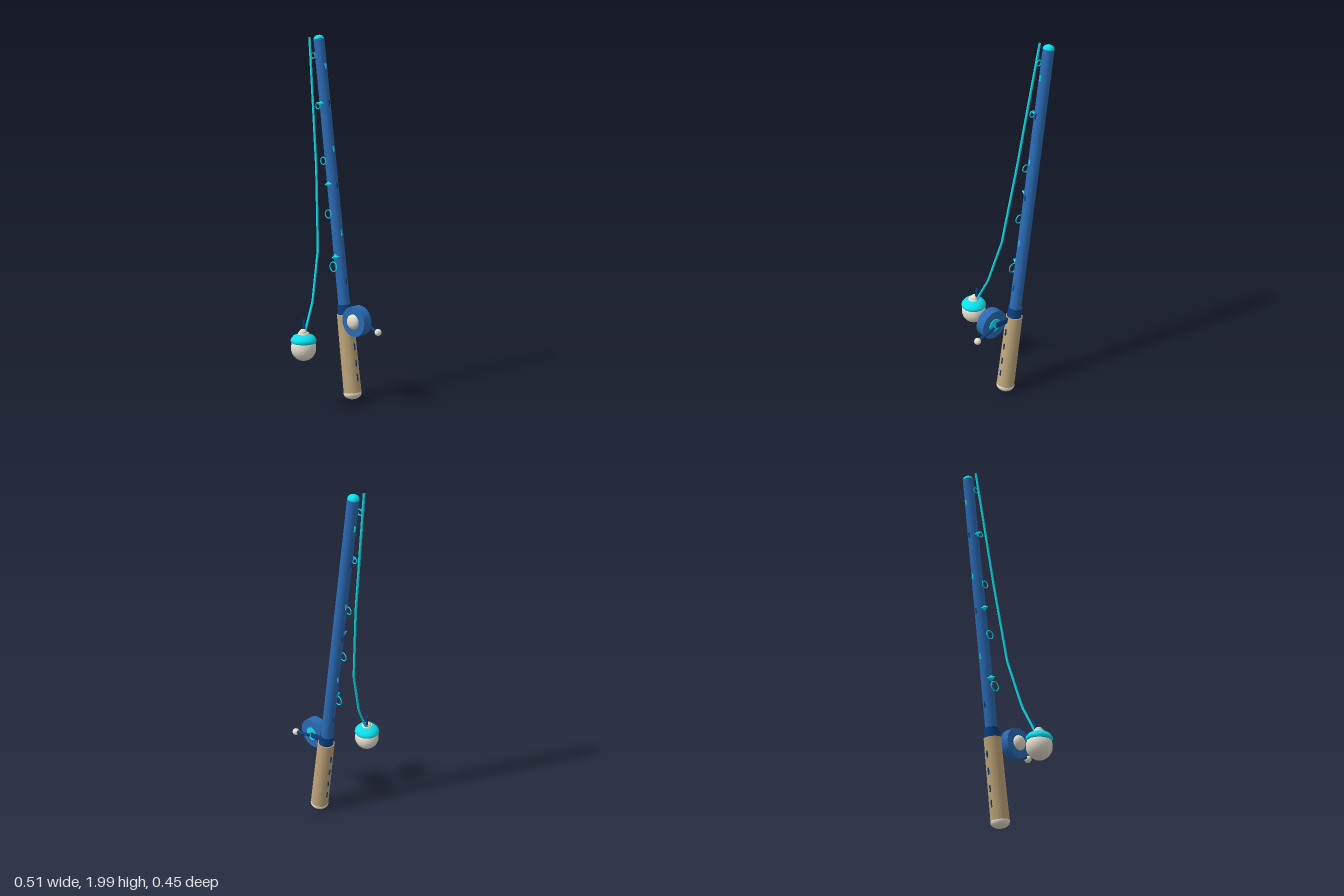
import * as THREE from 'three';

const mat = (color) => new THREE.MeshStandardMaterial({ color });
const blue = mat(0x2a6ab4), navy = mat(0x0c3f7e), tan = mat(0xbfa57a);
const cyan = mat(0x0de0ee), ivory = mat(0xe8e0d0);

function add(parent, name, geometry, material, x = 0, y = 0, z = 0) {
  const mesh = new THREE.Mesh(geometry, material);
  mesh.name = name;
  mesh.position.set(x, y, z);
  parent.add(mesh);
  return mesh;
}

// Closed tapered cylinder along y, from height a to height b
function post(parent, name, rTop, rBottom, a, b, material) {
  return add(parent, name, new THREE.CylinderGeometry(rTop, rBottom, b - a, 20), material, 0, (a + b) / 2);
}

// Flattened ball
function ball(parent, name, r, squash, material, x, y, z) {
  const mesh = add(parent, name, new THREE.SphereGeometry(r, 20, 14), material, x, y, z);
  mesh.scale.set(...squash);
  return mesh;
}

// Straight bar between two points
function bar(parent, name, from, to, r, material) {
  const a = new THREE.Vector3(...from), b = new THREE.Vector3(...to);
  const mesh = add(parent, name, new THREE.CylinderGeometry(r, r, a.distanceTo(b), 10), material);
  mesh.position.copy(a).add(b).multiplyScalar(0.5);
  mesh.quaternion.setFromUnitVectors(new THREE.Vector3(0, 1, 0), b.sub(a).normalize());
  return mesh;
}

function makeRod() {
  const rod = new THREE.Group();
  rod.name = 'rod';
  rod.position.set(0.045, 0.02, -0.173);
  rod.rotation.z = 0.137;
  post(rod, 'handle', 0.046, 0.05, 0.02, 0.462, tan);
  ball(rod, 'handleCap', 0.051, [1, 0.68, 1], ivory, 0, 0.02, 0);
  post(rod, 'collar', 0.039, 0.041, 0.455, 0.515, navy);
  post(rod, 'pole', 0.03, 0.033, 0.5, 1.968, blue);
  ball(rod, 'tipCap', 0.029, [1, 0.75, 1], cyan, 0, 1.97, 0);

  // Small inlays along both sides
  for (const side of [-1, 1]) {
    [0.13, 0.21, 0.3, 0.39].forEach((y) =>
      add(rod, 'gripInlay', new THREE.BoxGeometry(0.008, 0.036, 0.007), navy, side * 0.048, y - 0.02, 0));
    [0.65, 0.92, 1.18, 1.38, 1.63, 1.83].forEach((y, i) =>
      add(rod, 'poleInlay', new THREE.BoxGeometry(0.006, 0.03, 0.008), i % 2 ? cyan : navy, side * 0.031, y - 0.01, 0));
  }

  // Pointed studs on the front
  [[0.79, 0.024], [1.19, 0.021], [1.63, 0.018]].forEach(([y, r]) => {
    const cone = new THREE.ConeGeometry(r, 0.04, 4).toNonIndexed();
    cone.computeVertexNormals();
    add(rod, 'stud', cone, cyan, 0, y - 0.01, 0.044).rotation.x = Math.PI / 2;
  });

  // Line guides, shrinking towards the tip
  [[0.74, 0.026], [1.03, 0.023], [1.32, 0.02], [1.62, 0.017], [1.89, 0.015]].forEach(([y, r]) =>
    add(rod, 'lineGuide', new THREE.TorusGeometry(r, 0.003, 8, 20), cyan, 0, y - 0.01, 0.055));
  return rod;
}

function makeReel() {
  const reel = new THREE.Group();
  reel.name = 'reel';
  reel.position.set(0.111, 0.466, -0.133);
  const disc = (name, r, depth, z, material) =>
    add(reel, name, new THREE.CylinderGeometry(r, r, depth, 24), material, 0, 0, z).rotation.x = Math.PI / 2;
  disc('drum', 0.083, 0.055, 0, blue);
  disc('backPlate', 0.037, 0.005, -0.03, cyan);
  ball(reel, 'frontKnob', 0.041, [1, 1, 0.65], ivory, 0, 0, 0.028);
  add(reel, 'bracket', new THREE.BoxGeometry(0.13, 0.03, 0.014), navy, -0.07, 0, -0.034);
  bar(reel, 'crankArm', [0.01, -0.012, -0.034], [0.124, -0.046, -0.034], 0.009, navy);
  ball(reel, 'crankKnob', 0.019, [1, 1, 1], ivory, 0.126, -0.046, -0.034);
  return reel;
}

function makeFloat() {
  const float = new THREE.Group();
  float.name = 'float';
  float.position.set(-0.002, 0.35, 0.156);
  ball(float, 'floatBody', 0.068, [1, 1.03, 1], ivory, 0, 0, 0);
  const cap = [[0, 0.03], [0.064, 0.03], [0.07, 0.038], [0.067, 0.05], [0.055, 0.065], [0.034, 0.075], [0, 0.08]];
  add(float, 'floatCap', new THREE.LatheGeometry(cap.map((p) => new THREE.Vector2(...p)), 24), cyan);
  post(float, 'floatCollar', 0.028, 0.033, 0.07, 0.083, ivory);
  ball(float, 'floatKnob', 0.021, [1, 0.8, 1], ivory, -0.004, 0.085, 0);
  bar(float, 'floatPin', [-0.01, 0.085, -0.013], [-0.013, 0.148, -0.015], 0.008, navy);
  return float;
}

// Line hanging in straight runs from the tip to the float
function makeLine() {
  const points = [
    [-0.227, 1.98, -0.105], [-0.125, 1.29, -0.057], [-0.066, 0.85, -0.012],
    [-0.03, 0.58, 0.063], [-0.01, 0.425, 0.14],
  ].map((p) => new THREE.Vector3(...p));
  const path = new THREE.CurvePath();
  for (let i = 1; i < points.length; i++) path.add(new THREE.LineCurve3(points[i - 1], points[i]));
  const line = new THREE.Mesh(new THREE.TubeGeometry(path, 60, 0.0065, 8), cyan);
  line.material = cyan.clone();
  line.material.side = THREE.DoubleSide;
  line.name = 'fishingLine';
  return line;
}

export function createModel() {
  const model = new THREE.Group();
  model.name = 'fishingRod';
  model.add(makeRod(), makeReel(), makeFloat(), makeLine());
  return model;
}
